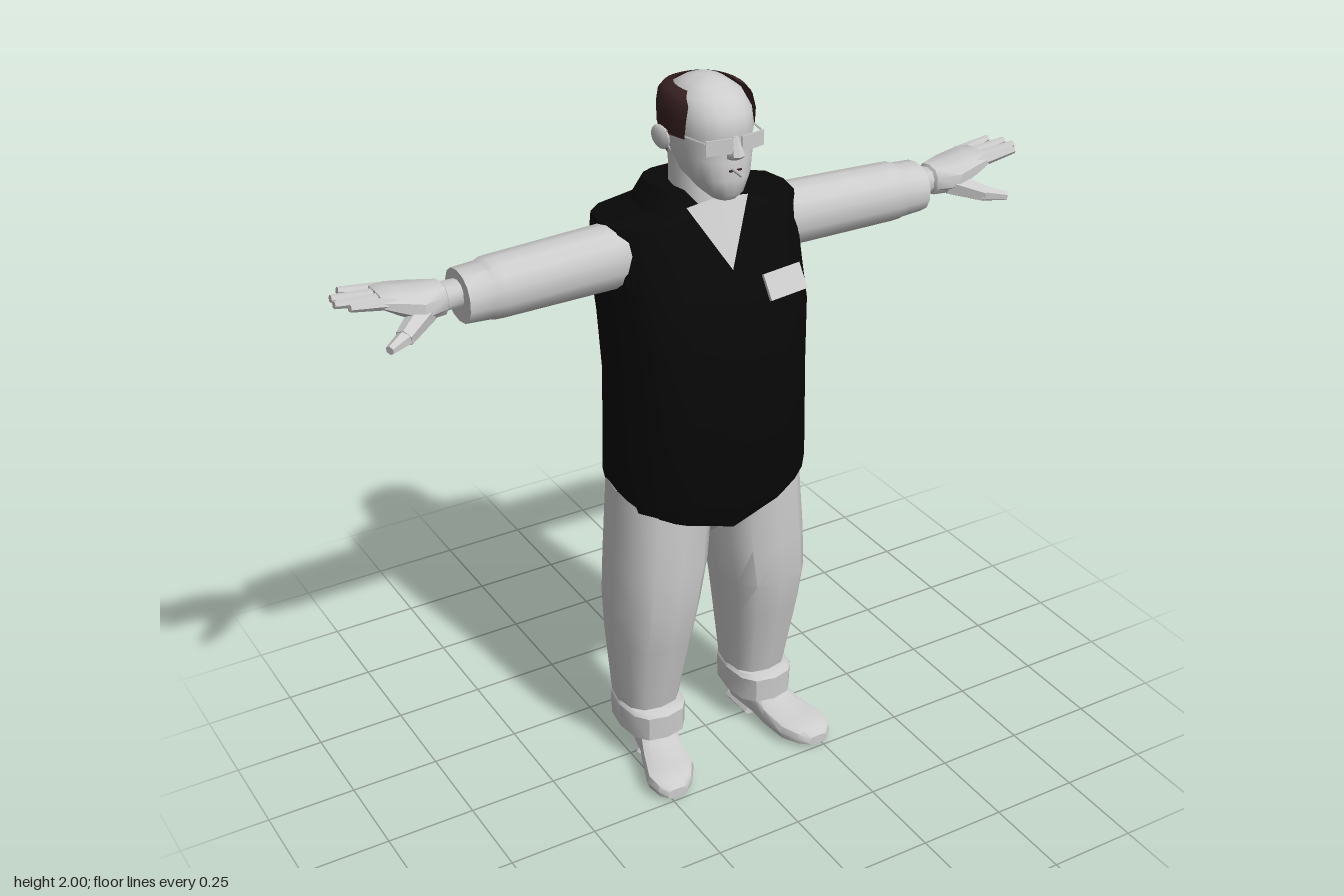
import * as THREE from 'three';
import { toCreasedNormals } from 'three/addons/utils/BufferGeometryUtils.js';

const material = (name, color, side = THREE.FrontSide) => {
  const m = new THREE.MeshStandardMaterial({ color, side });
  m.name = name;
  return m;
};

// Join cross-section rings into a skin; closed rings get end caps.
function loft(rings, closed = true) {
  const n = rings[0].length, pos = rings.flat(2), index = [];
  const steps = closed ? n : n - 1;
  for (let i = 0; i < rings.length - 1; i++) {
    for (let j = 0; j < steps; j++) {
      const k = (j + 1) % n, a = i * n + j, b = i * n + k;
      index.push(a, b, b + n, a, b + n, a + n);
    }
  }
  if (closed) {
    [0, rings.length - 1].forEach((r) => {
      const c = pos.length / 3;
      for (let d = 0; d < 3; d++) pos.push(rings[r].reduce((s, p) => s + p[d], 0) / n);
      for (let j = 0; j < n; j++) {
        const a = r * n + j, b = r * n + ((j + 1) % n);
        if (r) index.push(c, a, b);
        else index.push(c, b, a);
      }
    });
  }
  const g = new THREE.BufferGeometry();
  g.setAttribute('position', new THREE.Float32BufferAttribute(pos, 3));
  g.setIndex(index);
  g.computeVertexNormals();
  return g;
}

// Rounded outline: e = 1 is an ellipse, smaller is squarer.
const power = (v, e) => Math.sign(v) * Math.abs(v) ** e;
const outline = (n, e, fn) => Array.from({ length: n }, (_, j) => {
  const a = (j / n) * Math.PI * 2;
  return fn(power(Math.cos(a), e), power(Math.sin(a), e));
});
// Upright section: height, half width, front z, back z, centre x, dip at the middle
const ySec = (n, e) => ([y, hw, zf, zb, cx = 0, dip = 0]) => outline(n, e, (c, s) =>
  [cx + hw * s, y - dip * (1 - Math.abs(s)), (zf + zb) / 2 + (c * (zf - zb)) / 2]);
// Sideways section: x, centre y, centre z, half height, half depth
const xSec = (n, e) => ([x, cy, cz, hy, hz]) => outline(n, e, (c, s) => [x, cy + hy * c, cz + hz * s]);
// Lengthwise section: z, centre x, half width, bottom, top
const zSec = (n, e) => ([z, cx, hw, y0, y1]) => outline(n, e, (c, s) =>
  [cx + hw * c, (y0 + y1) / 2 + ((y1 - y0) / 2) * s, z]);

// Tapered rod between two points
function rod(a, b, r0, r1, sides = 6) {
  const p = new THREE.Vector3(...a), q = new THREE.Vector3(...b), d = q.clone().sub(p);
  const g = new THREE.CylinderGeometry(r1, r0, d.length(), sides);
  g.applyQuaternion(new THREE.Quaternion().setFromUnitVectors(new THREE.Vector3(0, 1, 0), d.normalize()));
  const m = p.add(q).multiplyScalar(0.5);
  return g.translate(m.x, m.y, m.z);
}

export function createModel() {
  const model = new THREE.Group();
  model.name = 'standingMan';
  const pale = material('paleGrey', 0xcccccc);
  const black = material('blackCloth', 0x080808);
  const brown = material('darkBrownHair', 0x3a2224, THREE.DoubleSide);

  const add = (name, geo, mat = pale, crease = 0.65) => {
    const mesh = new THREE.Mesh(toCreasedNormals(geo, crease), mat);
    mesh.name = name;
    model.add(mesh);
  };
  // Left part plus its mirrored twin
  const pair = (name, geo, mat, crease) => {
    const twin = geo.clone().scale(-1, 1, 1);
    twin.index.array.reverse();
    add('left' + name, geo, mat, crease);
    add('right' + name, twin, mat, crease);
  };

  // Shirt with pointed hem and raised collar
  add('shirt', loft([
    [0.85, 0.265, 0.15, -0.17, 0, 0.08], [0.9, 0.27, 0.19, -0.205, 0, 0.03],
    [1.2, 0.264, 0.19, -0.2], [1.37, 0.268, 0.19, -0.222], [1.47, 0.27, 0.155, -0.24],
    [1.58, 0.275, 0.1, -0.215], [1.645, 0.275, 0.07, -0.19],
    [1.66, 0.16, 0.055, -0.18], [1.71, 0.12, 0.015, -0.168],
  ].map(ySec(16, 0.65))), black);

  // Open neckline
  const neckline = new THREE.BufferGeometry();
  neckline.setAttribute('position', new THREE.Float32BufferAttribute(
    [0, 1.525, 0.138, 0.09, 1.685, 0.06, 0, 1.7, 0.068, -0.09, 1.685, 0.06], 3));
  neckline.setIndex([0, 1, 2, 0, 2, 3]);
  neckline.computeVertexNormals();
  add('neckline', neckline);

  // Chest badge, tilted off the shirt
  const badge = new THREE.BoxGeometry(0.12, 0.07, 0.008);
  badge.rotateX(-0.5).rotateY(0.15).translate(0.12, 1.487, 0.193);
  add('badge', badge);

  // Hips and legs
  add('hips', loft([
    [0.7, 0.012, 0.04, -0.06], [0.78, 0.1, 0.12, -0.14], [0.88, 0.24, 0.13, -0.15],
  ].map(ySec(12, 0.8))));
  pair('Leg', loft([
    [0.13, 0.083, 0.05, -0.13, 0.178], [0.2, 0.09, 0.065, -0.137, 0.178],
    [0.4, 0.113, 0.11, -0.148, 0.175], [0.52, 0.124, 0.135, -0.155, 0.17],
    [0.65, 0.132, 0.14, -0.16, 0.155], [0.88, 0.133, 0.138, -0.165, 0.136],
  ].map(ySec(12, 0.8))));
  pair('TrouserCuff', loft([
    [0.09, 0.09, 0.092, -0.138, 0.178], [0.165, 0.092, 0.095, -0.142, 0.178],
    [0.175, 0.085, 0.08, -0.132, 0.178],
  ].map(ySec(12, 0.75))));

  // Shoes, toes turned outward
  pair('Shoe', loft([
    [-0.08, 0.165, 0.04, 0.02, 0.09], [-0.05, 0.17, 0.055, 0.018, 0.11], [0.05, 0.187, 0.06, 0.015, 0.11],
    [0.1, 0.2, 0.066, 0.006, 0.08], [0.18, 0.22, 0.075, 0.004, 0.066],
    [0.225, 0.23, 0.055, 0.004, 0.055], [0.245, 0.235, 0.03, 0.006, 0.035],
  ].map(zSec(12, 0.65))));
  pair('ShoeHeel', loft([
    [-0.082, 0.165, 0.045, 0, 0.03], [0.02, 0.182, 0.058, 0, 0.03],
  ].map(zSec(8, 0.5))));

  // Sleeves
  pair('Sleeve', loft([
    [0.2, 1.56, -0.03, 0.085, 0.08], [0.28, 1.56, -0.03, 0.084, 0.08], [0.58, 1.553, -0.03, 0.078, 0.081],
    [0.605, 1.553, -0.03, 0.077, 0.079], [0.615, 1.551, -0.03, 0.072, 0.077], [0.68, 1.551, -0.03, 0.068, 0.074],
  ].map(xSec(14, 0.9))));

  // Hands: wrist and palm, four fingers, thumb
  pair('Palm', loft([
    [0.66, 1.56, -0.03, 0.033, 0.036], [0.72, 1.56, -0.03, 0.035, 0.036], [0.725, 1.56, -0.03, 0.042, 0.045],
    [0.79, 1.562, -0.035, 0.045, 0.07], [0.85, 1.583, -0.037, 0.032, 0.068], [0.89, 1.595, -0.037, 0.018, 0.062],
  ].map(xSec(10, 0.8))));
  [[0.965, -0.085], [0.995, -0.052], [1, -0.016], [0.975, 0.02]].forEach(([x, z], i) =>
    pair('Finger' + (i + 1), rod([0.86, 1.592, -0.083 + i * 0.03], [x, 1.611, z], 0.017, 0.01)));
  pair('Thumb', rod([0.78, 1.545, -0.005], [0.86, 1.518, 0.055], 0.034, 0.024));
  pair('ThumbTip', rod([0.85, 1.52, 0.05], [0.91, 1.512, 0.085], 0.023, 0.012));

  // Neck and head
  add('neck', loft([
    [1.55, 0.085, 0.06, -0.12], [1.68, 0.075, 0.05, -0.11], [1.8, 0.075, 0.04, -0.11],
  ].map(ySec(12, 0.9))));
  add('head', loft([
    [1.712, 0.032, 0.125, 0.04], [1.73, 0.052, 0.142, 0], [1.77, 0.08, 0.146, -0.06],
    [1.82, 0.094, 0.144, -0.1], [1.86, 0.1, 0.136, -0.118], [1.885, 0.102, 0.144, -0.122],
    [1.93, 0.1, 0.132, -0.12], [1.965, 0.084, 0.102, -0.1], [1.99, 0.05, 0.06, -0.06], [2, 0.018, 0.025, -0.025],
  ].map(ySec(20, 0.88))), pale, 0.8);
  add('nose', loft([
    [1.828, 0.02, 0.158, 0.12], [1.838, 0.022, 0.17, 0.12], [1.885, 0.01, 0.15, 0.12],
  ].map(ySec(8, 0.9))));
  add('mouth', new THREE.BoxGeometry(0.034, 0.004, 0.006).translate(0, 1.797, 0.145), brown);
  add('cigarette', rod([-0.005, 1.8, 0.14], [-0.012, 1.802, 0.2], 0.005, 0.005));
  pair('Ear', new THREE.SphereGeometry(1, 10, 8).scale(0.01, 0.035, 0.027)
    .rotateY(-0.45).rotateZ(-0.2).translate(0.117, 1.853, -0.02));

  // Spectacles
  pair('Lens', new THREE.BoxGeometry(0.072, 0.04, 0.004).rotateY(0.2).translate(0.048, 1.866, 0.147));
  pair('SpectacleArm', rod([0.084, 1.88, 0.138], [0.112, 1.875, -0.015], 0.003, 0.003, 4));

  // Horseshoe of hair: height, half width, front z, back z, starting angle
  const hairRows = [
    [1.775, 0.092, 0.14, -0.098, 2.45], [1.815, 0.103, 0.14, -0.118, 2.1], [1.86, 0.11, 0.142, -0.132, 1.75],
    [1.872, 0.111, 0.142, -0.134, 1.12], [1.92, 0.113, 0.14, -0.135, 1.05], [1.955, 0.108, 0.125, -0.127, 0.98],
    [1.972, 0.095, 0.11, -0.112, 1.1], [1.98, 0.074, 0.09, -0.085, 1.25],
  ];
  add('hair', loft(hairRows.map(([y, hw, zf, zb, a0]) => Array.from({ length: 21 }, (_, j) => {
    const a = a0 + (j / 20) * 2 * (Math.PI - a0);
    return [hw * power(Math.sin(a), 0.88), y, (zf + zb) / 2 + ((zf - zb) / 2) * power(Math.cos(a), 0.88)];
  })), false), brown, 0.8);

  return model;
}
